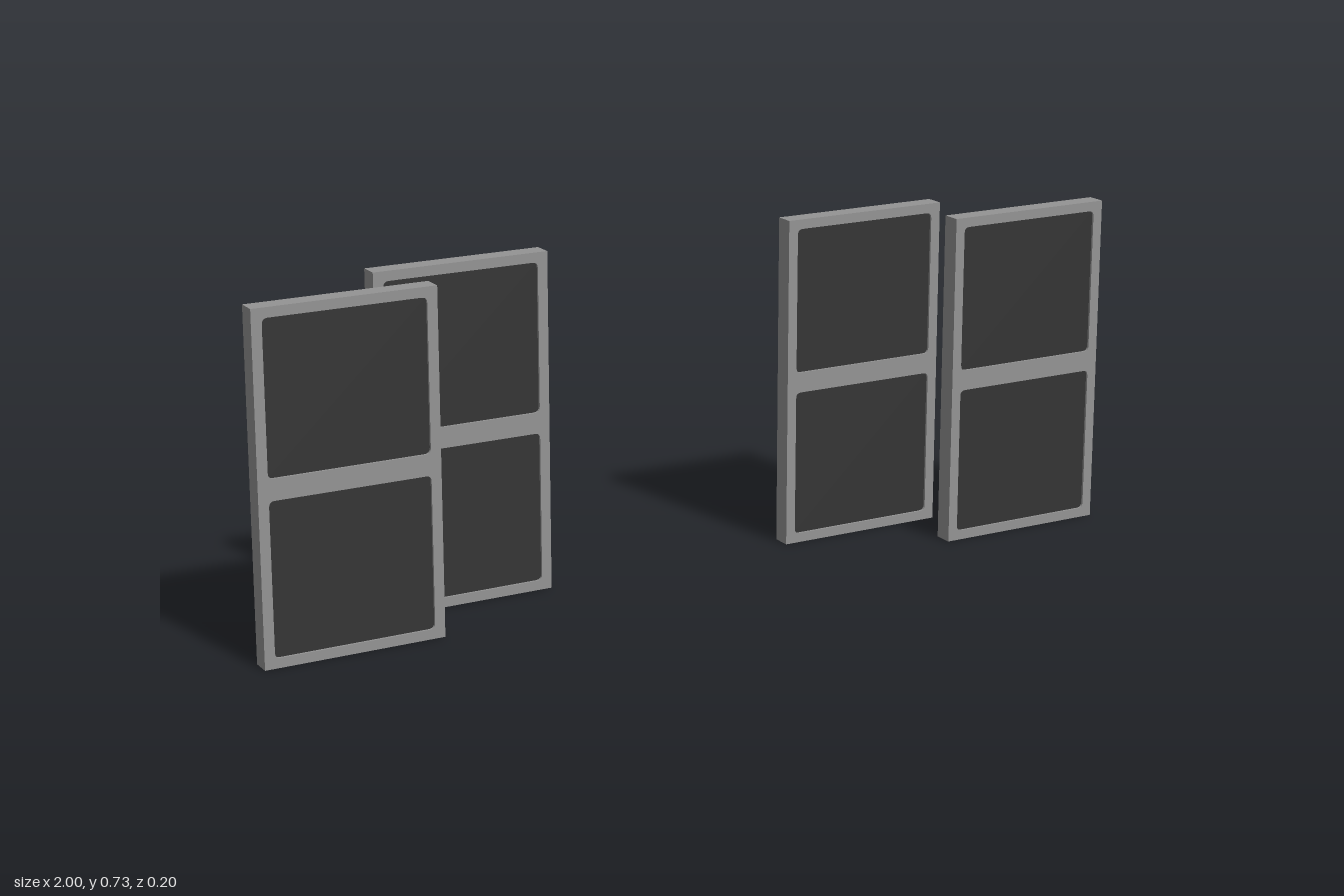
import * as THREE from 'three';

const W = 0.388, H = 0.728, D = 0.042, RECESS = 0.005;
// The two openings of each frame: [bottom, top]
const OPENINGS = [[0.021, 0.343], [0.388, 0.707]];
const SIDE = 0.022;

// Rectangle with rounded corners, drawn on a Shape or Path
function roundedRect(path, x0, y0, x1, y1, r) {
  path.moveTo(x0 + r, y0);
  path.lineTo(x1 - r, y0);
  path.quadraticCurveTo(x1, y0, x1, y0 + r);
  path.lineTo(x1, y1 - r);
  path.quadraticCurveTo(x1, y1, x1 - r, y1);
  path.lineTo(x0 + r, y1);
  path.quadraticCurveTo(x0, y1, x0, y1 - r);
  path.lineTo(x0, y0 + r);
  path.quadraticCurveTo(x0, y0, x0 + r, y0);
  return path;
}

export function createModel() {
  const model = new THREE.Group();
  model.name = 'slidingWindowPanels';
  const frameMat = new THREE.MeshStandardMaterial({ color: 0x949494 });
  frameMat.name = 'grey frame';
  const glassMat = new THREE.MeshStandardMaterial({ color: 0x343434 });
  glassMat.name = 'dark glass';

  // Frame outline with two rounded openings
  const outline = new THREE.Shape();
  outline.moveTo(-W / 2, 0);
  outline.lineTo(W / 2, 0);
  outline.lineTo(W / 2, H);
  outline.lineTo(-W / 2, H);
  outline.closePath();
  for (const [y0, y1] of OPENINGS) {
    outline.holes.push(roundedRect(new THREE.Path(), -W / 2 + SIDE, y0, W / 2 - SIDE, y1, 0.012));
  }
  const frameGeo = new THREE.ExtrudeGeometry(outline, { depth: D, bevelEnabled: false, curveSegments: 4 });
  frameGeo.translate(0, 0, -D / 2);

  // One sash: frame and two slightly recessed panes
  function addSash(name, x, z) {
    const sash = new THREE.Group();
    sash.name = name;
    sash.position.set(x, 0, z);
    const frame = new THREE.Mesh(frameGeo, frameMat);
    frame.name = 'frame';
    sash.add(frame);
    OPENINGS.forEach(([y0, y1], i) => {
      const pane = new THREE.Mesh(
        new THREE.BoxGeometry(W - 2 * SIDE + 0.004, y1 - y0 + 0.004, D - 2 * RECESS), glassMat);
      pane.name = i ? 'upperPane' : 'lowerPane';
      pane.position.y = (y0 + y1) / 2;
      sash.add(pane);
    });
    model.add(sash);
  }

  // Outer sashes stand in front, inner ones behind
  for (const [side, s] of [['left', 1], ['right', -1]]) {
    addSash(side + 'OuterSash', s * (1 - W / 2), 0.08);
    addSash(side + 'InnerSash', s * (0.29 + W / 2), -0.08);
  }
  return model;
}
